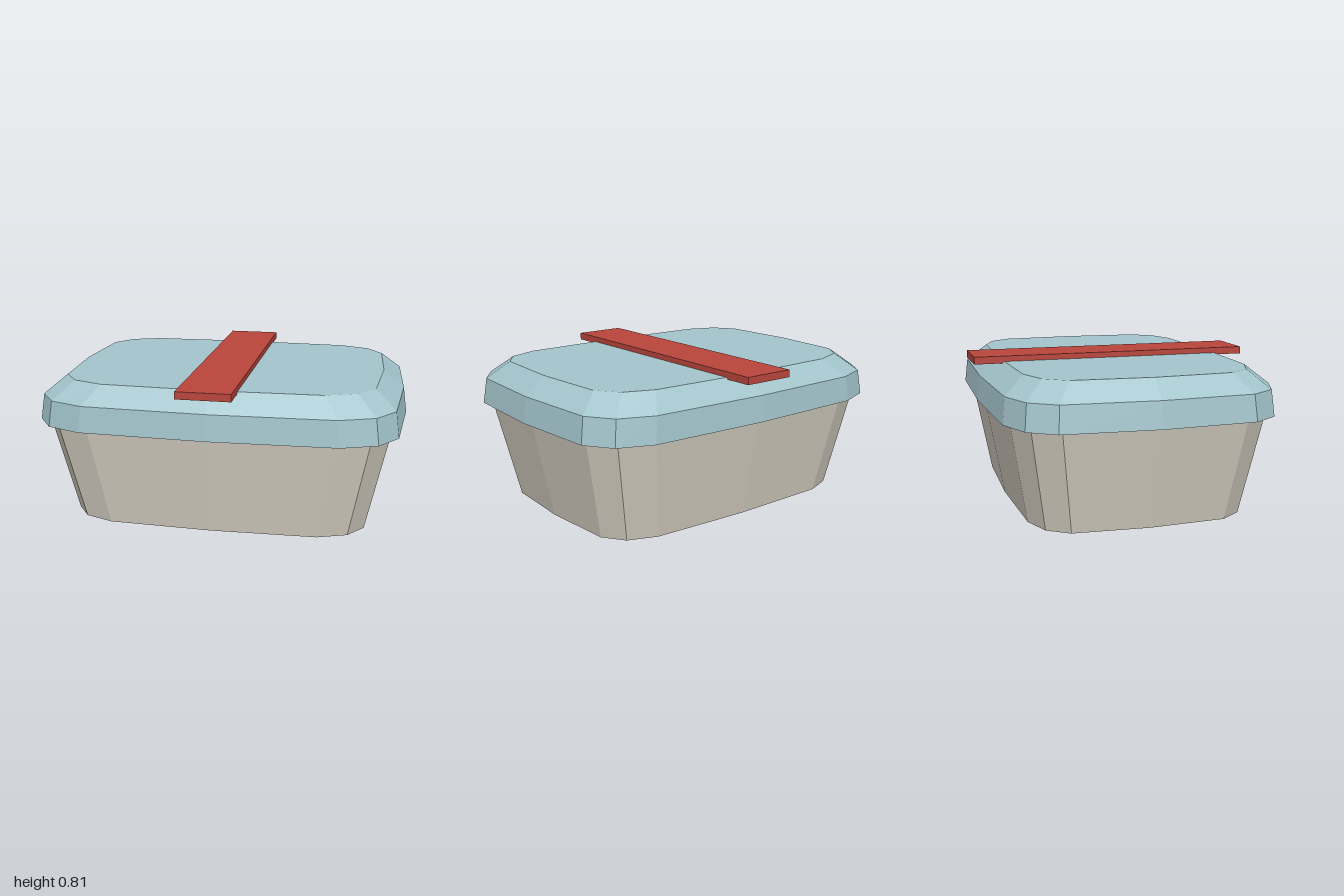
import * as THREE from 'three';

const SIDES = 16;

// Rounded-rectangle (superellipse) ring of SIDES points
function ring([y, a, b]) {
  const soft = (v) => (Math.abs(v) < 1e-6 ? 0 : Math.sign(v) * Math.abs(v) ** 0.4);
  return Array.from({ length: SIDES }, (_, i) => {
    const t = (i / SIDES) * Math.PI * 2;
    return [a * soft(Math.cos(t)), y, b * soft(Math.sin(t))];
  });
}

// Closed, flat-shaded loft through rings given as [height, half width, half depth]
function loft(levels) {
  const rings = levels.map(ring);
  const last = rings.length - 1;
  const bottom = [0, levels[0][0], 0];
  const top = [0, levels[last][0], 0];
  const pos = [];
  for (let i = 0; i < SIDES; i++) {
    const j = (i + 1) % SIDES;
    for (let k = 0; k < last; k++) {
      const lo = rings[k], hi = rings[k + 1];
      pos.push(...lo[j], ...lo[i], ...hi[i], ...lo[j], ...hi[i], ...hi[j]);
    }
    pos.push(...bottom, ...rings[0][i], ...rings[0][j]);
    pos.push(...top, ...rings[last][j], ...rings[last][i]);
  }
  const geo = new THREE.BufferGeometry();
  geo.setAttribute('position', new THREE.Float32BufferAttribute(pos, 3));
  geo.computeVertexNormals();
  return geo;
}

function part(name, geometry, color) {
  const mesh = new THREE.Mesh(geometry, new THREE.MeshStandardMaterial({ color, flatShading: true }));
  mesh.name = name;
  return mesh;
}

export function createModel() {
  const model = new THREE.Group();
  model.name = 'lunchBox';

  // Tapered container, tucked slightly into the lid
  model.add(part('container', loft([[0, 0.833, 0.607], [0.56, 0.957, 0.71]]), 0xd6cfc2));

  // Overhanging lid with a bevelled top
  model.add(part('lid', loft([[0.55, 1, 0.75], [0.69, 0.98, 0.735], [0.785, 0.865, 0.622]]), 0xa3c4cc));

  // Flat strap lying across the lid
  const strap = part('strap', new THREE.BoxGeometry(0.29, 0.04, 1.565), 0xb9453c);
  strap.position.y = 0.795;
  model.add(strap);

  return model;
}
